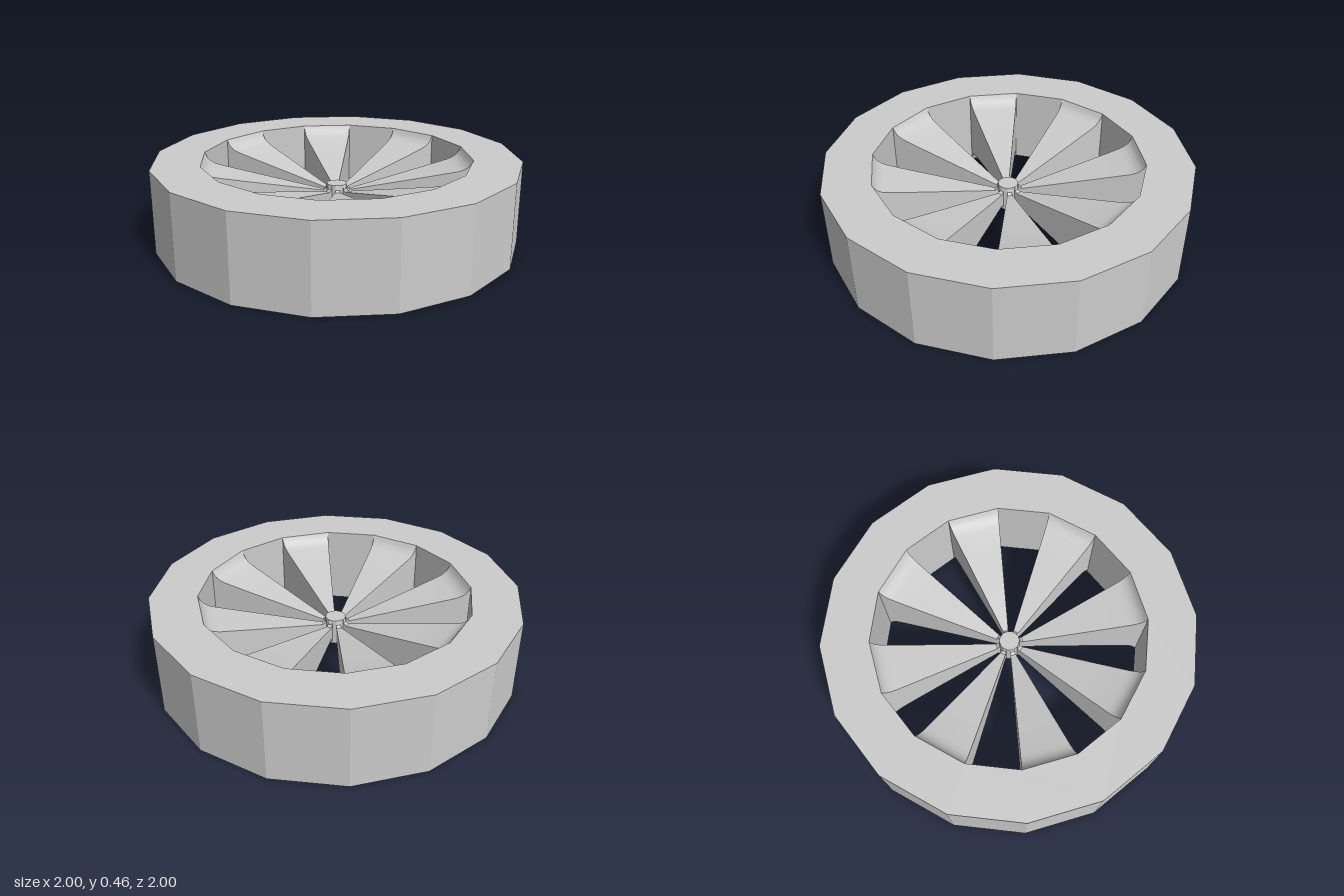
import * as THREE from 'three';
import { toCreasedNormals } from 'three/addons/utils/BufferGeometryUtils.js';

const SIDES = 16, STEP = Math.PI * 2 / SIDES;
const HEIGHT = 0.457, MID = 0.232;
const RIM_INNER = 0.74, HUB_R = 0.055;

// Spoke profile: radius and half height, flaring into hub and rim
const PROFILE = [
  [HUB_R, 0.07], [0.06, 0.048], [0.075, 0.037], [0.3, 0.083], [0.5, 0.124],
  [0.66, 0.158], [0.69, 0.168], [0.715, 0.184], [0.73, 0.203], [RIM_INNER, 0.225],
];

function polygon(path, radius) {
  const points = [];
  for (let i = 0; i < SIDES; i++) {
    points.push(new THREE.Vector2(Math.cos(i * STEP) * radius, Math.sin(i * STEP) * radius));
  }
  return path.setFromPoints(points);
}

// One wedge filling a single sector, as a loop of four corners per radius
function spokeGeometry() {
  const positions = [], index = [];
  for (const [r, h] of PROFILE) {
    const x = Math.cos(STEP) * r, z = Math.sin(STEP) * r;
    positions.push(r, MID + h, 0, x, MID + h, z, x, MID - h, z, r, MID - h, 0);
  }
  for (let i = 0; i < PROFILE.length - 1; i++) {
    for (let j = 0; j < 4; j++) {
      const a = i * 4 + j, b = i * 4 + (j + 1) % 4;
      index.push(a, b, a + 4, b, b + 4, a + 4);
    }
  }
  const g = new THREE.BufferGeometry();
  g.setAttribute('position', new THREE.Float32BufferAttribute(positions, 3));
  g.setIndex(index);
  return toCreasedNormals(g, 0.7);
}

export function createModel() {
  const group = new THREE.Group();
  const flat = new THREE.MeshStandardMaterial({ color: 0xcccccc, flatShading: true });
  const smooth = new THREE.MeshStandardMaterial({ color: 0xcccccc });

  // Faceted rim
  const outline = polygon(new THREE.Shape(), 1);
  outline.holes.push(polygon(new THREE.Path(), RIM_INNER));
  const rimGeometry = new THREE.ExtrudeGeometry(outline, { depth: HEIGHT, bevelEnabled: false });
  rimGeometry.rotateX(-Math.PI / 2);
  const rim = new THREE.Mesh(rimGeometry, flat);
  rim.name = 'rim';
  group.add(rim);

  // Small centre hub
  const hub = new THREE.Mesh(new THREE.CylinderGeometry(HUB_R, HUB_R, 0.146, SIDES), flat);
  hub.position.y = MID;
  hub.name = 'hub';
  group.add(hub);

  // Spokes fill every other sector
  const spokes = new THREE.Group();
  spokes.name = 'spokes';
  const geometry = spokeGeometry();
  for (let i = 0; i < SIDES; i += 2) {
    const spoke = new THREE.Mesh(geometry, smooth);
    spoke.rotation.y = -i * STEP;
    spoke.name = 'spoke';
    spokes.add(spoke);
  }
  group.add(spokes);
  return group;
}
